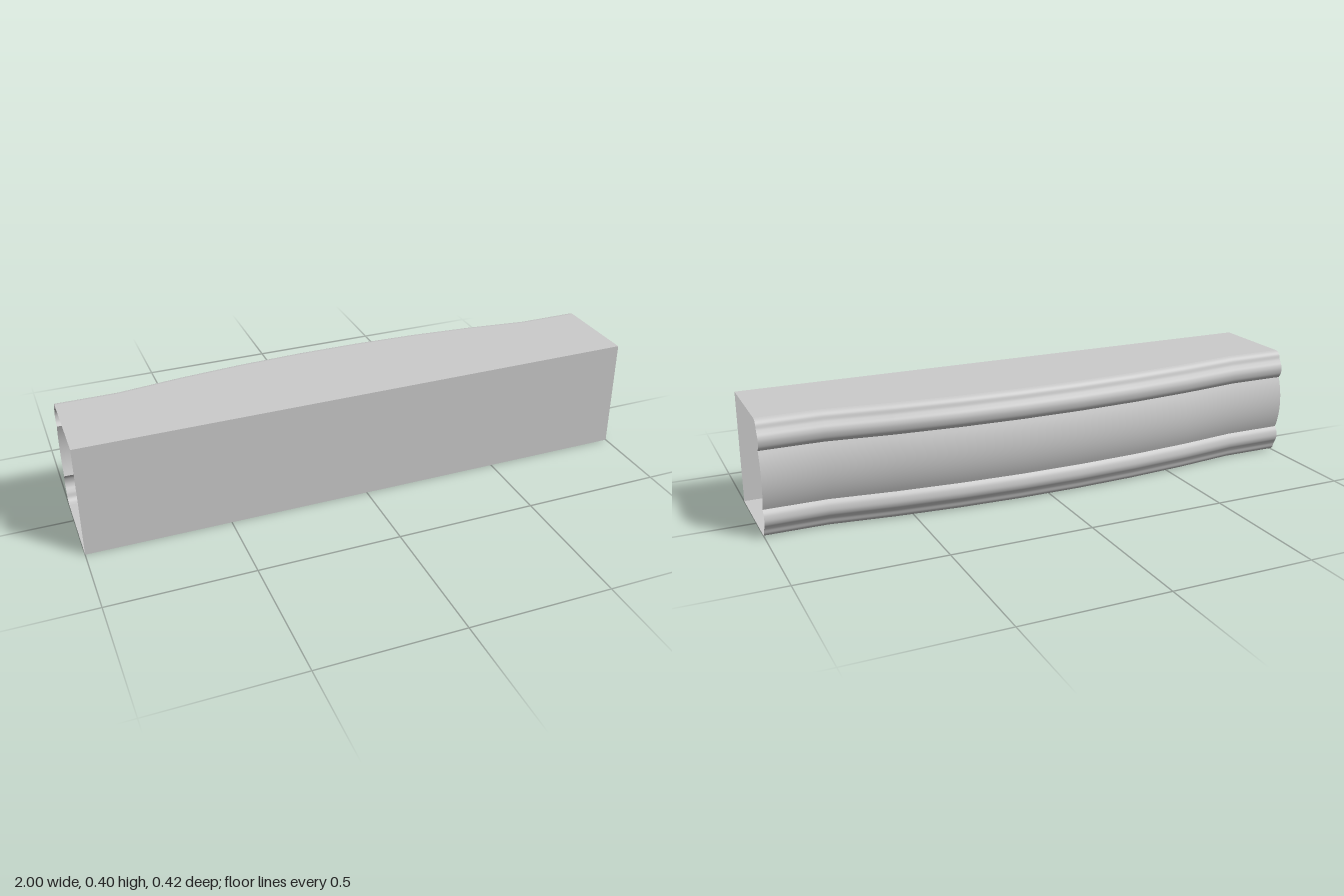
import * as THREE from 'three';

const HEIGHT = 0.4, FRONT = 0.21, EDGE = -0.103;
const BEND = 0.786, BULGE = 0.057, STEPS = 7;

// Stations along the length: straight ends with a bowed middle
const stations = [-1];
for (let i = 0; i <= STEPS; i++) stations.push(-BEND + (2 * BEND * i) / STEPS);
stations.push(1);
const bow = x => {
  const s = 1 - 1 / STEPS ** 2; // the middle segment reaches the full bulge
  return (BULGE / s) * Math.max(0, 1 - (x / BEND) ** 2);
};

// Sweep a profile of (z, y) points along x; points at the back follow the bow
function sweep(name, profile, material) {
  const position = [], index = [], n = profile.length;
  for (const x of stations) {
    for (const p of profile) position.push(x, p.y, p.x < 0 ? p.x - bow(x) : p.x);
  }
  for (let i = 0; i < stations.length - 1; i++) {
    for (let j = 0; j < n - 1; j++) {
      const a = i * n + j, b = a + n;
      index.push(a, b, b + 1, a, b + 1, a + 1);
    }
  }
  const geometry = new THREE.BufferGeometry();
  geometry.setAttribute('position', new THREE.Float32BufferAttribute(position, 3));
  geometry.setIndex(index);
  geometry.computeVertexNormals();
  const mesh = new THREE.Mesh(geometry, material);
  mesh.name = name;
  return mesh;
}

export function createModel() {
  const group = new THREE.Group();
  group.name = 'mouldedRail';
  const material = new THREE.MeshStandardMaterial({ color: 0xcccccc, side: THREE.DoubleSide });
  const v = (z, y) => new THREE.Vector2(z, y);
  const add = (name, profile) => group.add(sweep(name, profile, material));

  // Flat walls; both ends stay open
  add('frontWall', [v(FRONT, 0), v(FRONT, HEIGHT)]);
  add('topWall', [v(FRONT, HEIGHT), v(EDGE, HEIGHT)]);
  add('bottomWall', [v(EDGE, 0), v(FRONT, 0)]);

  // Rounded shoulder running into a bead, mirrored for the lower edge
  const bead = new THREE.SplineCurve([
    v(EDGE, HEIGHT), v(-0.117, 0.397), v(-0.127, 0.387), v(-0.132, 0.372), v(-0.138, 0.361),
    v(-0.145, 0.349), v(-0.148, 0.334), v(-0.144, 0.315), v(-0.134, 0.3),
  ]).getPoints(32);
  add('upperBead', bead);
  add('lowerBead', bead.map(p => v(p.x, HEIGHT - p.y)).reverse());

  // Shallow convex band between the beads
  const sag = 0.02, radius = (0.1 ** 2 + sag ** 2) / (2 * sag), half = Math.asin(0.1 / radius);
  const band = [];
  for (let i = 0; i <= 16; i++) {
    const a = half * (1 - i / 8);
    band.push(v(-0.154 + radius * (1 - Math.cos(a)), 0.2 + radius * Math.sin(a)));
  }
  add('centreBand', band);

  return group;
}
